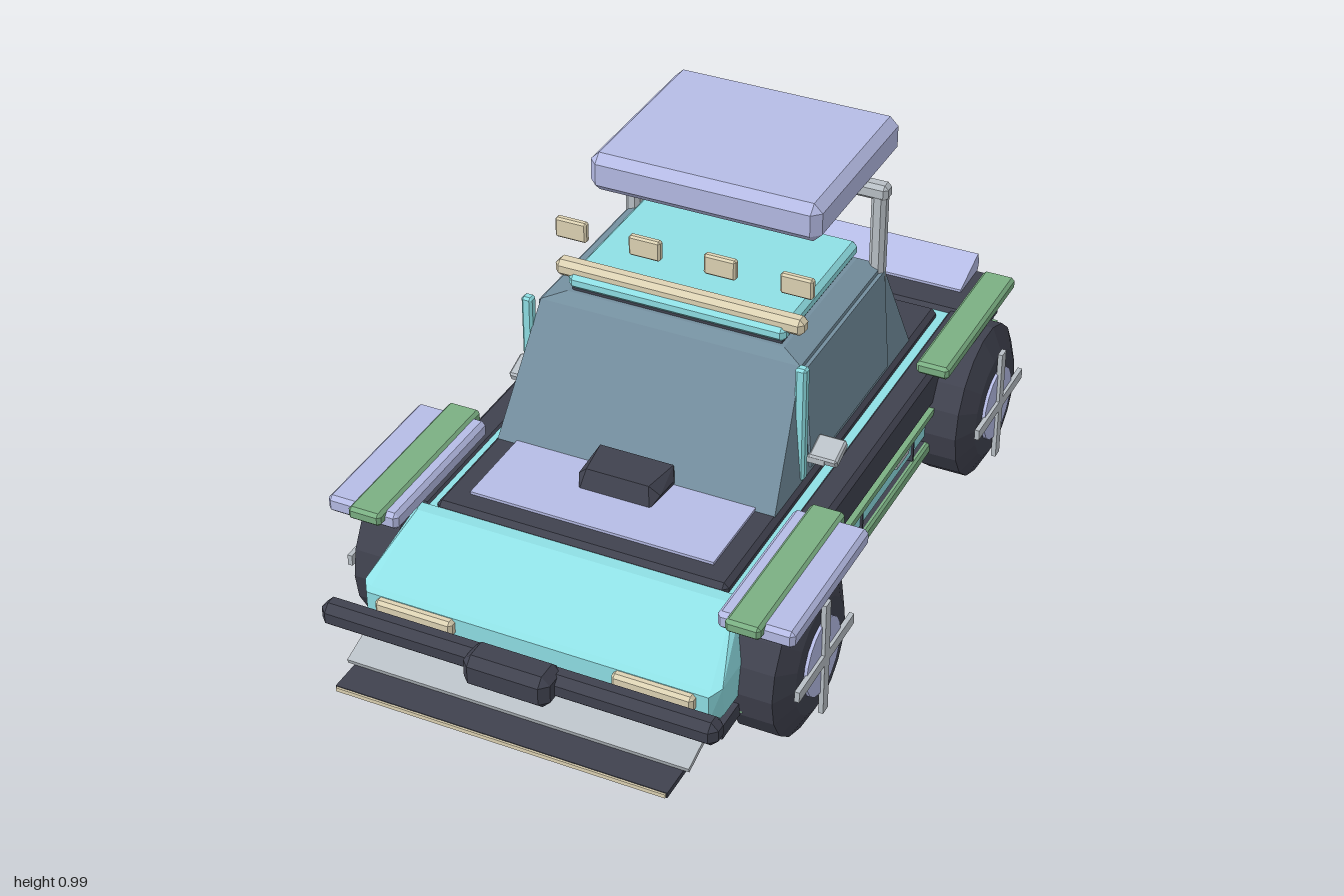
import * as THREE from 'three';
import { ConvexGeometry } from 'three/addons/geometries/ConvexGeometry.js';

const COLORS = {
  cyan: 0x8fe0e5, dark: 0x40424f, lavender: 0xb6bce6, green: 0x7bb083,
  cream: 0xded3b4, grey: 0xb9c0c6, glass: 0x748f9f, red: 0xb5434f, pink: 0xd8c9cf,
};
const mats = {};
for (const [k, color] of Object.entries(COLORS)) {
  mats[k] = new THREE.MeshStandardMaterial({ color, flatShading: true });
}

export function createModel() {
  const car = new THREE.Group();
  car.name = 'car';

  const add = (name, color, geometry, parent = car) => {
    const mesh = new THREE.Mesh(geometry, mats[color]);
    mesh.name = name;
    parent.add(mesh);
    return mesh;
  };

  // Box given by its limits, with chamfered edges when c > 0
  const box = (name, color, [x0, x1], [y0, y1], [z0, z1], c = 0) => {
    const h = [(x1 - x0) / 2, (y1 - y0) / 2, (z1 - z0) / 2];
    let g;
    if (c) {
      const pts = [];
      for (const sx of [-1, 1]) for (const sy of [-1, 1]) for (const sz of [-1, 1]) {
        for (let axis = 0; axis < 3; axis++) {
          const d = h.map((v, i) => (i === axis ? v : v - c));
          pts.push(new THREE.Vector3(sx * d[0], sy * d[1], sz * d[2]));
        }
      }
      g = new ConvexGeometry(pts);
    } else g = new THREE.BoxGeometry(h[0] * 2, h[1] * 2, h[2] * 2);
    const mesh = add(name, color, g);
    mesh.position.set((x0 + x1) / 2, (y0 + y1) / 2, (z0 + z1) / 2);
    return mesh;
  };
  // The same box on both sides
  const pair = (name, color, [x0, x1], y, z, c) => {
    box(name + 'Left', color, [x0, x1], y, z, c);
    box(name + 'Right', color, [-x1, -x0], y, z, c);
  };
  // Symmetric solid from side-profile points [z, y, halfWidth]
  const hull = (name, color, profile) => add(name, color, new ConvexGeometry(
    profile.flatMap(([z, y, w]) => [new THREE.Vector3(w, y, z), new THREE.Vector3(-w, y, z)])));

  // Lower body and sloping nose
  hull('lowerBody', 'cyan', [
    [0.78, 0.17, 0.43], [0.82, 0.2, 0.43], [0.82, 0.27, 0.43], [0.79, 0.17, 0.4], [0.79, 0.28, 0.45], [0.78, 0.2, 0.45],
    [-0.88, 0.17, 0.44], [-0.91, 0.19, 0.42], [-0.91, 0.28, 0.42], [-0.88, 0.28, 0.45], [-0.88, 0.19, 0.45],
  ]);
  hull('nose', 'cyan', [
    [0.82, 0.265, 0.43], [0.79, 0.28, 0.45], [0.6, 0.28, 0.45], [0.6, 0.385, 0.41], [0.63, 0.385, 0.4],
  ]);
  box('floor', 'dark', [-0.45, 0.45], [0.135, 0.172], [-0.9, 0.79]);
  box('deckBase', 'cyan', [-0.4, 0.4], [0.27, 0.375], [-0.86, 0.61]);

  // Dark upper body
  pair('sideRail', 'dark', [0.385, 0.46], [0.275, 0.38], [-0.89, 0.6], 0.012);
  box('rearDeck', 'dark', [-0.455, 0.455], [0.275, 0.385], [-0.915, -0.68], 0.02);
  box('centreDeck', 'dark', [-0.37, 0.37], [0.3, 0.398], [-0.67, 0.6], 0.012);
  box('hoodPanel', 'lavender', [-0.31, 0.31], [0.39, 0.405], [0.28, 0.54]);
  hull('hoodScoop', 'dark', [
    [0.3, 0.4, 0.1], [0.42, 0.4, 0.09], [0.3, 0.45, 0.095], [0.4, 0.45, 0.08], [0.33, 0.425, 0.108], [0.39, 0.425, 0.105],
  ]);
  hull('tailSpoiler', 'lavender', [
    [-0.78, 0.38, 0.39], [-0.78, 0.392, 0.39], [-0.85, 0.405, 0.39], [-0.9, 0.435, 0.39], [-0.91, 0.405, 0.39], [-0.9, 0.38, 0.39],
  ]);

  // Side trim
  pair('sill', 'green', [0.43, 0.462], [0.138, 0.172], [-0.88, 0.7], 0.006);
  pair('sideStripe', 'green', [0.44, 0.468], [0.258, 0.275], [-0.86, 0.5]);
  for (const z of [0.01, -0.315]) pair('doorSeam', 'dark', [0.44, 0.455], [0.175, 0.255], [z - 0.004, z + 0.004]);
  pair('doorHandle', 'grey', [0.445, 0.464], [0.238, 0.25], [-0.26, -0.18]);

  // Cabin glass, pillars and roof
  hull('cabin', 'glass', [
    [0.32, 0.395, 0.36], [0.13, 0.69, 0.335], [0.1, 0.71, 0.28],
    [-0.33, 0.71, 0.28], [-0.36, 0.69, 0.335], [-0.5, 0.395, 0.36],
  ]);
  hull('sideWindows', 'glass', [
    [0.12, 0.41, 0.364], [0.12, 0.68, 0.345], [-0.35, 0.68, 0.345], [-0.35, 0.41, 0.364],
  ]);
  pair('windscreenPillar', 'cyan', [0.338, 0.366], [0.4, 0.71], [0.145, 0.172], 0.006);
  box('roof', 'cyan', [-0.28, 0.28], [0.715, 0.755], [-0.34, 0.1], 0.012);
  box('roofSeal', 'dark', [-0.27, 0.27], [0.7, 0.718], [-0.33, 0.09]);

  // Roof lights
  box('lightBar', 'cream', [-0.32, 0.32], [0.735, 0.778], [0.045, 0.09], 0.012);
  for (const x of [-0.29, -0.098, 0.095, 0.288]) {
    box('roofLight', 'cream', [x - 0.041, x + 0.041], [0.822, 0.875], [0.038, 0.058], 0.005);
  }

  // Roll bar and wing
  pair('rollBarPost', 'grey', [0.307, 0.345], [0.4, 0.9], [-0.368, -0.33], 0.01);
  box('rollBarTop', 'grey', [-0.35, 0.35], [0.878, 0.92], [-0.37, -0.328], 0.01);
  box('wing', 'lavender', [-0.297, 0.297], [0.9, 1.0], [-0.545, -0.045], 0.022);

  // Fenders and mirrors
  pair('frontFender', 'lavender', [0.4, 0.585], [0.38, 0.425], [0.295, 0.72], 0.01);
  pair('frontFenderStrip', 'green', [0.43, 0.515], [0.398, 0.432], [0.27, 0.745], 0.008);
  pair('rearFenderStrip', 'green', [0.43, 0.515], [0.398, 0.432], [-0.84, -0.365], 0.008);
  pair('mirrorArm', 'grey', [0.35, 0.4], [0.43, 0.445], [0.1, 0.13]);
  for (const s of [-1, 1]) {
    const m = box('mirror', 'grey', [s * 0.395 - 0.036, s * 0.395 + 0.036], [0.438, 0.463], [0.06, 0.13], 0.005);
    m.rotation.x = 0.35;
  }

  // Front bumper, winch, lights and splitter
  box('bumper', 'dark', [-0.495, 0.495], [0.222, 0.285], [0.865, 0.925], 0.018);
  box('winch', 'dark', [-0.108, 0.108], [0.215, 0.3], [0.875, 0.965], 0.02);
  pair('headlight', 'cream', [0.2, 0.4], [0.225, 0.268], [0.81, 0.84], 0.008);
  box('grille', 'dark', [-0.135, 0.135], [0.183, 0.218], [0.81, 0.845], 0.006);
  box('frontPlate', 'pink', [-0.11, 0.11], [0.17, 0.185], [0.81, 0.83]);
  const skid = box('skidPlate', 'grey', [-0.43, 0.43], [0.147, 0.159], [0.83, 0.92]);
  skid.rotation.x = 0.3;
  box('splitter', 'dark', [-0.415, 0.415], [0.118, 0.132], [0.845, 0.995]);
  box('splitterEdge', 'cream', [-0.412, 0.412], [0.12, 0.13], [0.992, 1.0]);

  // Tail lights, plate, exhausts and diffuser
  pair('tailLight', 'red', [0.195, 0.405], [0.235, 0.265], [-0.935, -0.9], 0.008);
  box('rearPlate', 'grey', [-0.1, 0.1], [0.185, 0.235], [-0.918, -0.9]);
  box('diffuserPlate', 'dark', [-0.22, 0.22], [0.165, 0.178], [-0.925, -0.85]);
  for (let i = -2; i <= 2; i++) {
    box('diffuserFin', 'dark', [i * 0.106 - 0.005, i * 0.106 + 0.005], [0.117, 0.178], [-1.0, -0.86]);
  }
  for (const s of [-1, 1]) {
    const pipe = add('exhaust', 'grey', new THREE.CylinderGeometry(0.021, 0.021, 0.1, 10).rotateX(Math.PI / 2));
    pipe.position.set(s * 0.2, 0.18, -0.93);
  }

  // Wheels: tyre, rim disc and crossed spokes
  const tyreProfile = [[0.09, -0.08], [0.14, -0.08], [0.2, -0.05], [0.2, 0.05], [0.14, 0.08], [0.09, 0.08]]
    .map(([r, y]) => new THREE.Vector2(r, y));
  const tyre = new THREE.LatheGeometry(tyreProfile, 18).rotateZ(Math.PI / 2);
  const rim = new THREE.CylinderGeometry(0.096, 0.096, 0.176, 18).rotateZ(Math.PI / 2);
  const spoke = new THREE.BoxGeometry(0.012, 0.31, 0.028);
  for (const s of [-1, 1]) for (const z of [0.51, -0.6]) {
    const wheel = new THREE.Group();
    wheel.name = (z > 0 ? 'front' : 'rear') + 'Wheel' + (s > 0 ? 'Left' : 'Right');
    wheel.position.set(s * 0.482, 0.205, z);
    add('tyre', 'dark', tyre, wheel);
    add('rim', 'lavender', rim, wheel);
    for (const a of [0, Math.PI / 2]) {
      const bar = add('spoke', 'grey', spoke, wheel);
      bar.position.x = s * 0.09;
      bar.rotation.x = a;
    }
    car.add(wheel);
  }
  return car;
}
